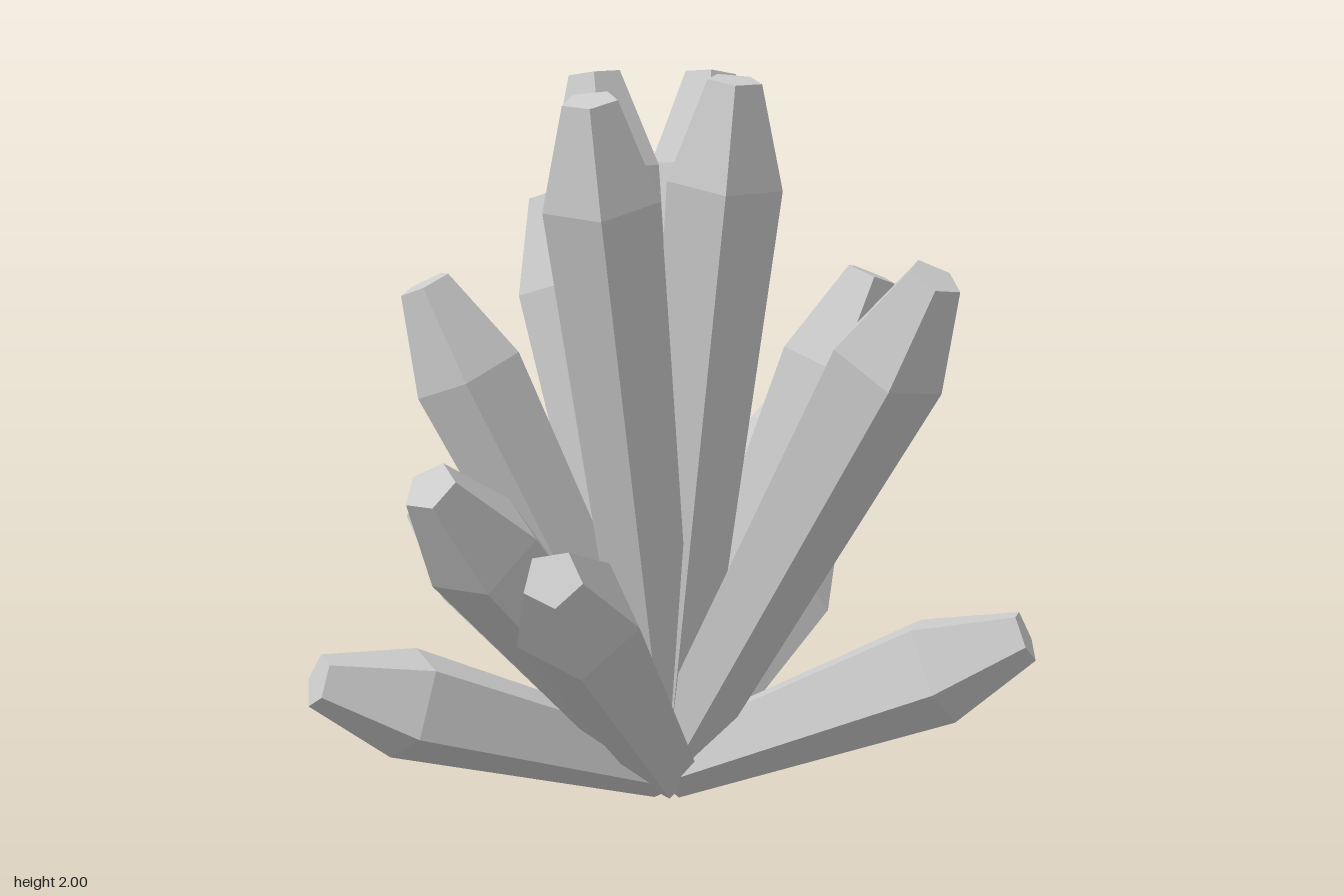
import * as THREE from 'three';

// Cap centres of the crystals, fanned around a shared root
const ROOT = new THREE.Vector3(0.035, 0.09, -0.03);
const TIPS = {
  upright: [[0.035, 1.99, 0.26], [0.035, 1.97, -0.36], [-0.37, 1.955, 0.2], [0.4, 1.955, -0.32]],
  middle: [
    [0.25, 1.53, 0.79], [0.52, 1.45, 0.24], [-0.5, 1.44, -0.38],
    [0.46, 1.38, -0.58], [0.035, 1.62, -0.56],
  ],
  leaning: [[-0.85, 1.04, 0.2], [-0.87, 0.93, 0.76], [0.85, 1.08, -0.34], [-0.24, 0.73, -0.82]],
  low: [[0.9, 0.51, -0.45], [0.69, 0.52, 0.69], [-0.92, 0.45, -0.26]],
};
const BASE_RADIUS = 0.093, SHOULDER_RADIUS = 0.156, CAP_RADIUS = 0.073, POINT_LENGTH = 0.265;

// Five-sided shaft that widens to a shoulder, then narrows to a flat cap
function crystalGeometry(length) {
  const profile = [
    [0, 0], [BASE_RADIUS, 0], [SHOULDER_RADIUS, length - POINT_LENGTH], [CAP_RADIUS, length], [0, length],
  ].map(([r, y]) => new THREE.Vector2(r, y));
  return new THREE.LatheGeometry(profile, 5, Math.PI);
}

export function createModel() {
  const model = new THREE.Group();
  model.name = 'crystalCluster';
  const material = new THREE.MeshStandardMaterial({ color: 0xcccccc, flatShading: true });
  const up = new THREE.Vector3(0, 1, 0);

  for (const [tier, tips] of Object.entries(TIPS)) {
    const group = new THREE.Group();
    group.name = `${tier}Crystals`;
    tips.forEach((tip, i) => {
      const axis = new THREE.Vector3(...tip).sub(ROOT);
      const crystal = new THREE.Mesh(crystalGeometry(axis.length()), material);
      crystal.name = `${tier}Crystal${i + 1}`;
      crystal.position.copy(ROOT);
      crystal.quaternion.setFromUnitVectors(up, axis.normalize());
      group.add(crystal);
    });
    model.add(group);
  }
  return model;
}
